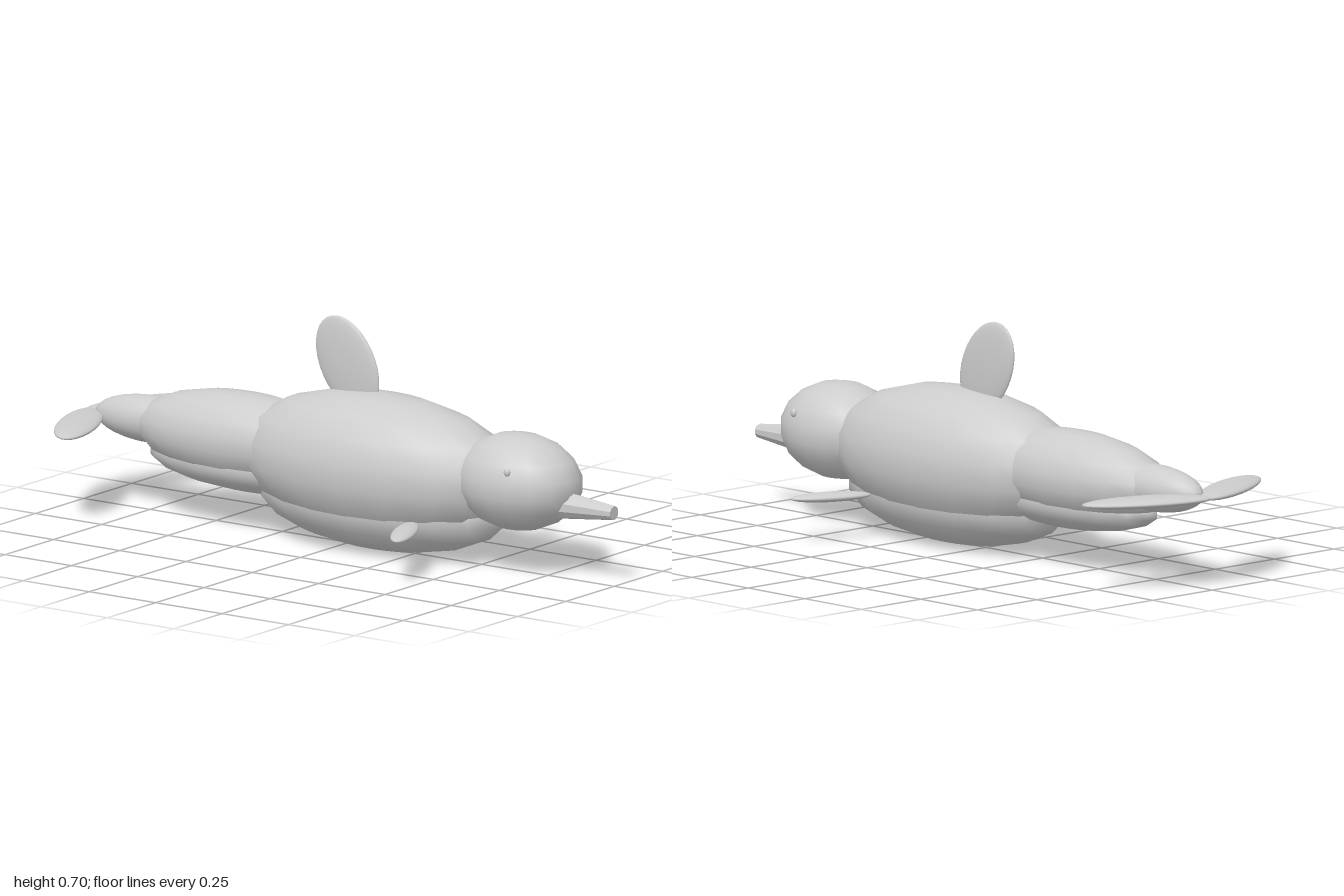
import * as THREE from 'three';

export function createModel() {
  const dolphin = new THREE.Group();
  dolphin.name = 'dolphin';
  const skin = new THREE.MeshStandardMaterial({ color: 0xcccccc });
  skin.name = 'pale grey skin';
  const beakSkin = skin.clone();
  beakSkin.name = 'pale grey beak';
  beakSkin.flatShading = true;

  // Coarse spheres for the body masses, finer ones for the fins
  const coarse = new THREE.SphereGeometry(1, 18, 9);
  const fine = new THREE.SphereGeometry(1, 24, 16);

  function blob(name, geometry, position, radii, rotation = [0, 0, 0]) {
    const mesh = new THREE.Mesh(geometry, skin);
    mesh.name = name;
    mesh.position.set(...position);
    mesh.scale.set(...radii);
    mesh.rotation.set(...rotation);
    dolphin.add(mesh);
    return mesh;
  }

  // Body masses, front to back
  blob('head', coarse, [0, 0.284, 0.64], [0.163, 0.151, 0.213]);
  blob('body', coarse, [0, 0.265, 0.115], [0.223, 0.225, 0.51]);
  blob('belly', coarse, [0, 0.153, 0.125], [0.18, 0.15, 0.455]);
  blob('rearBody', coarse, [0, 0.28, -0.394], [0.15, 0.14, 0.4]);
  blob('rearBelly', coarse, [0, 0.2, -0.36], [0.126, 0.085, 0.385]);
  blob('tailStem', fine, [0, 0.287, -0.74], [0.075, 0.073, 0.21]);

  // Beak: a tapered ten-sided tube
  const beak = new THREE.Mesh(new THREE.CylinderGeometry(0.022, 0.05, 0.25, 10), beakSkin);
  beak.name = 'beak';
  beak.rotation.x = Math.PI / 2;
  beak.position.set(0, 0.232, 0.875);
  dolphin.add(beak);

  // Fin on the back, leaning backwards
  blob('dorsalFin', fine, [0, 0.563, -0.005], [0.017, 0.155, 0.105], [-Math.PI / 6, 0, 0]);

  // Paired parts; both fins sweep forward towards their tips
  const sweep = THREE.MathUtils.degToRad(25);
  for (const [side, s] of [['left', 1], ['right', -1]]) {
    blob(side + 'Flipper', fine, [s * 0.268, 0.14, 0.405], [0.13, 0.015, 0.037], [0, -s * sweep, 0]);
    blob(side + 'Fluke', fine, [s * 0.173, 0.284, -0.8935], [0.21, 0.0175, 0.065], [0, -s * sweep, 0]);
    blob(side + 'Eye', fine, [s * 0.143, 0.345, 0.7], [0.008, 0.013, 0.011]);
  }
  return dolphin;
}
